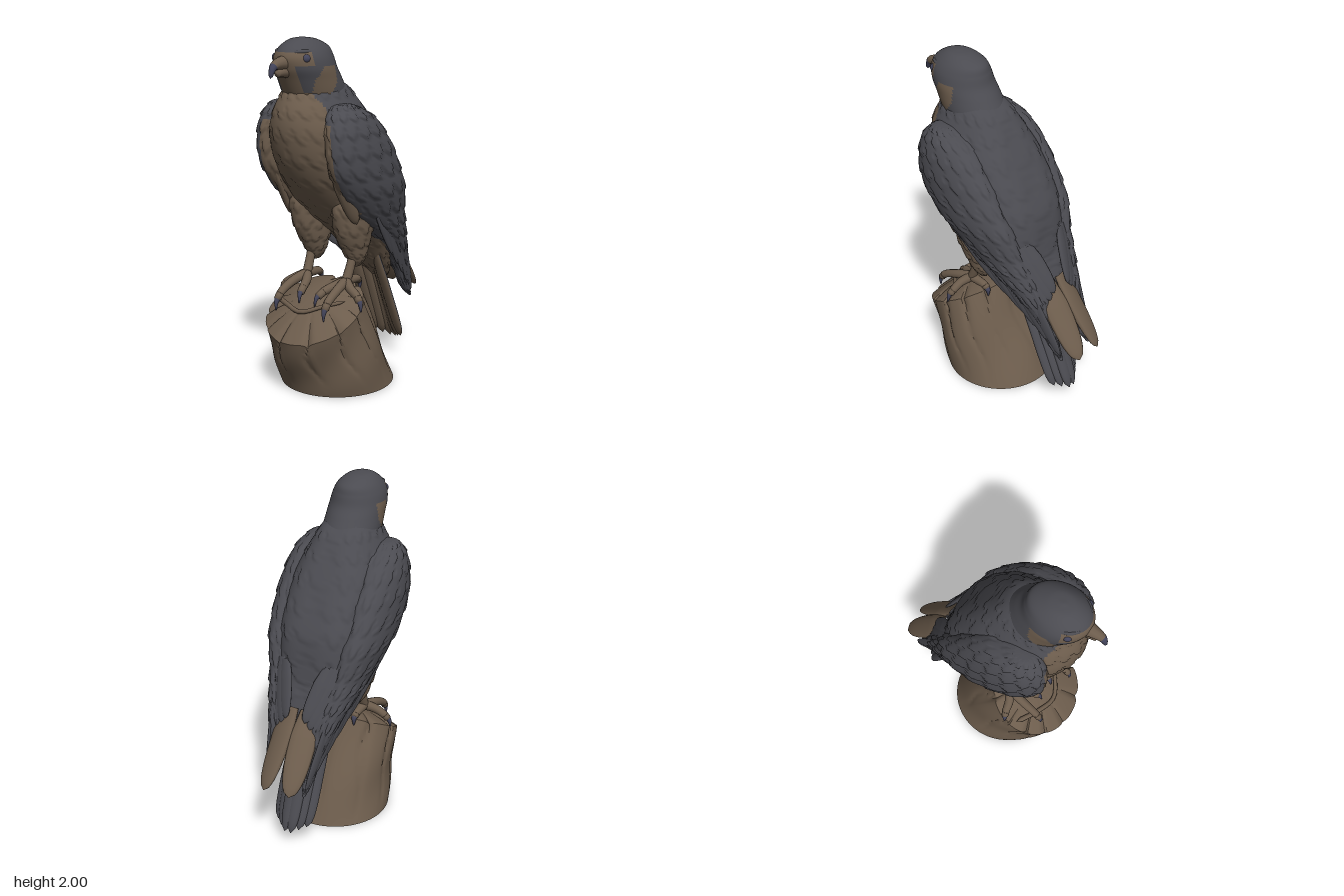
import * as THREE from 'three';
import { toCreasedNormals } from 'three/addons/utils/BufferGeometryUtils.js';

const V = (x, y, z) => new THREE.Vector3(x, y, z);
const mat = (name, color) => Object.assign(new THREE.MeshStandardMaterial({ color }), { name });

export function createModel() {
  const model = new THREE.Group();
  model.name = 'perchedFalcon';
  const materials = [mat('slateFeathers', 0x4b4b51), mat('warmBrown', 0x6c5c4c), mat('darkTalon', 0x43445a)];
  const SLATE = 0, BROWN = 1, TALON = 2;

  // Closed-around surface: fn(t, angle) gives a point, paint(point, t, angle) a material index
  function surface(name, rows, cols, fn, paint, side = 1, crease = 0) {
    const pos = [], faces = [[], [], []];
    const pts = [];
    for (let j = 0; j <= rows; j++) {
      for (let i = 0; i < cols; i++) {
        const p = fn(j / rows, (i / cols) * Math.PI * 2);
        p.x *= side;
        pts.push(p);
        pos.push(p.x, p.y, p.z);
      }
    }
    for (let j = 0; j < rows; j++) {
      for (let i = 0; i < cols; i++) {
        const k = (i + 1) % cols;
        const a = j * cols + i, b = j * cols + k, c = a + cols, d = b + cols;
        const mid = pts[a].clone().add(pts[d]).multiplyScalar(0.5);
        const m = typeof paint === 'function' ? paint(mid, (j + 0.5) / rows, ((i + 0.5) / cols) * Math.PI * 2) : paint;
        faces[m].push(...(side > 0 ? [a, b, c, b, d, c] : [a, c, b, b, c, d]));
      }
    }
    let geo = new THREE.BufferGeometry();
    geo.setAttribute('position', new THREE.Float32BufferAttribute(pos, 3));
    geo.setIndex(faces.flat());
    if (crease) geo = toCreasedNormals(geo, crease);
    else geo.computeVertexNormals();
    let start = 0;
    faces.forEach((f, m) => {
      if (f.length) geo.addGroup(start, f.length, m);
      start += f.length;
    });
    const single = typeof paint !== 'function';
    if (single) geo.clearGroups();
    const mesh = new THREE.Mesh(geo, single ? materials[paint] : materials);
    mesh.name = name;
    model.add(mesh);
  }

  // Overlapping scalloped feathers: height grows toward each rounded edge, then drops
  function plumage(t, a, rows, cols) {
    const v = t * rows, r = Math.floor(v);
    const u = (a / (Math.PI * 2)) * cols + ((r - 1) & 1) * 0.5;
    const c = u - Math.floor(u) - 0.5;
    const local = v - r + 1;
    return (local < 1 + 0.6 * (1 - 4 * c * c) ? local : local - 1) / 1.6 - 0.5;
  }

  // Loft through level sections [y, front z, back z, outer x, inner x], top to bottom;
  // a square value under 1 broadens the back half, and the end rings close to a point
  function loft(name, sections, rows, cols, [amp, fr, fc, square = 1], paint, side = 1) {
    const centre = new THREE.CatmullRomCurve3(
      sections.map(([y, f, b, o, i = -o]) => V((o + i) / 2, y, (f + b) / 2)), false, 'catmullrom');
    const radius = new THREE.CatmullRomCurve3(
      sections.map(([, f, b, o, i = -o]) => V((o - i) / 2, 0, (f - b) / 2)), false, 'catmullrom');
    surface(name, rows, cols, (t, a) => {
      const p = centre.getPoint(t), r = radius.getPoint(t);
      if (t === 0 || t === 1) return p;
      const c = Math.cos(a), s = Math.sin(a);
      const d = amp ? amp * plumage(t, a, fr, fc) * Math.min(1, r.x / 0.08) : 0;
      p.x += (Math.max(r.x, 0.001) + d) * (s < 0 ? Math.sign(c) * Math.abs(c) ** square : c);
      p.z += (Math.max(r.z, 0.001) + d) * s;
      return p;
    }, paint, side);
  }

  // Tapered tube along a smooth path
  function limb(name, points, r0, r1, paint, side = 1) {
    const curve = new THREE.CatmullRomCurve3(points.map((p) => V(...p)));
    const n = 16, fr = curve.computeFrenetFrames(n);
    surface(name, n, 12, (t, a) => {
      const j = Math.round(t * n), r = j % n ? r0 + (r1 - r0) * t : 0;
      return curve.getPointAt(t)
        .addScaledVector(fr.normals[j], r * Math.cos(a))
        .addScaledVector(fr.binormals[j], r * Math.sin(a));
    }, paint, side);
  }

  // Long flat feather with a rounded tip; a higher power makes the tip blunter
  function blade(name, from, to, width, thick, face, paint, side = 1, power = 4) {
    const a0 = V(...from), a1 = V(...to);
    const d = a1.clone().sub(a0).normalize();
    const across = V(...face).cross(d).normalize();
    const up = d.clone().cross(across);
    surface(name, 20, 12, (t, a) => {
      const w = Math.min(1, 0.7 + t) * Math.sqrt(Math.max(0, 1 - t ** power));
      return a0.clone().lerp(a1, t)
        .addScaledVector(across, width * w * Math.cos(a))
        .addScaledVector(up, thick * w * Math.sin(a));
    }, paint, side);
  }

  // Body: brown breast, belly and undertail, broad slate back
  loft('body', [
    [1.78, 0.40, 0.16, 0.12], [1.72, 0.45, 0.06, 0.157], [1.62, 0.505, -0.02, 0.21], [1.5, 0.515, -0.10, 0.26],
    [1.35, 0.475, -0.19, 0.285], [1.2, 0.39, -0.26, 0.285], [1.05, 0.265, -0.29, 0.265], [0.95, 0.16, -0.305, 0.235],
    [0.85, 0.02, -0.34, 0.2], [0.75, -0.09, -0.37, 0.16], [0.65, -0.19, -0.39, 0.12], [0.57, -0.28, -0.40, 0.08],
    [0.51, -0.34, -0.40, 0.04],
  ], 120, 100, [0.012, 13, 18, 0.62], (p, t, a) => {
    if (p.y > 1.58) return p.z > 0.36 + (p.y - 1.58) * 0.45 ? BROWN : SLATE;
    return Math.sin(a) > (p.y < 1 ? -0.3 : 0) ? BROWN : SLATE;
  });

  // Head: slate cap and moustache, brown cheek, throat and eye surround
  loft('head', [
    [2.0, 0.375, 0.36, 0.005], [1.988, 0.44, 0.28, 0.065], [1.95, 0.505, 0.195, 0.113], [1.9, 0.535, 0.17, 0.143],
    [1.84, 0.525, 0.15, 0.157], [1.78, 0.495, 0.11, 0.16], [1.7, 0.455, 0.06, 0.162], [1.64, 0.42, 0.04, 0.15],
  ], 90, 96, [0, 1, 1], (p) => {
    const x = Math.abs(p.x);
    const cheekBack = 0.27 + Math.max(0, 1.76 - p.y) * 0.8, cheekFront = 0.415 - Math.max(0, p.y - 1.78) * 0.6;
    if (p.y < 1.85 && p.z > cheekBack && p.z < cheekFront) return BROWN;
    if (p.y < 1.86 && p.z > 0.4 && x < 0.07) return BROWN;
    if (p.y < 1.71 && p.z > 0.4) return BROWN;
    return p.y > 1.855 && p.y < 1.925 && p.z > 0.43 ? BROWN : SLATE;
  });

  // Short deep hooked beak
  limb('upperBeak', [[0, 1.868, 0.45], [0, 1.87, 0.545], [0, 1.856, 0.598], [0, 1.797, 0.626]], 0.056, 0.008,
    (p, t) => (t > 0.7 ? TALON : BROWN));
  limb('lowerBeak', [[0, 1.83, 0.45], [0, 1.825, 0.53], [0, 1.818, 0.58]], 0.046, 0.018, BROWN);

  // Stump: domed sloping top, grooved bark, flat foot
  const crack = (a, h) => (1 - Math.abs(Math.sin(a * 5.5 + 0.7 * Math.sin(2 * a + 1) + 0.35 * Math.sin(7 * h)))) ** 4;
  surface('stump', 64, 120, (t, a) => {
    const c = Math.cos(a), s = Math.sin(a);
    const top = (r, h) => {
      const k = r * (1 - 0.07 * crack(a, h) * r);
      return V(0.292 * k * c, 0.47 - 0.135 * r * s + 0.075 * (1 - r * r) - 0.025 * crack(a, 1) * r ** 3, 0.275 + 0.255 * k * s);
    };
    if (t <= 0.3125) return top(t / 0.3125, 1);
    if (t >= 0.875) {
      const r = (1 - t) / 0.125;
      return V(0.33 * r * c, 0, 0.06 + 0.33 * r * s);
    }
    const h = 1 - (t - 0.3125) / 0.5625;
    const edge = top(1, h);
    const bulge = 0.012 * Math.sin(h * Math.PI) * Math.sin(3 * a + 4 * h);
    return V(0.33 * c, 0, 0.06 + 0.33 * s).lerp(edge, h).add(V(bulge * c, 0, bulge * s));
  }, BROWN, 1, 0.7);
  limb('topRidge', [[-0.26, 0.5, 0.29], [-0.12, 0.5, 0.37], [0, 0.485, 0.4], [0.12, 0.525, 0.33], [0.2, 0.545, 0.25]],
    0.016, 0.01, BROWN);

  // Arched tail fan: slate above, brown beneath, outer feathers set forward
  for (let i = -2.5; i <= 2.5; i++) {
    const k = Math.abs(i);
    blade('tailFeather', [0.035 * i, 0.78 - 0.01 * k, -0.25 + 0.03 * k], [0.038 * i, 0.08 + 0.016 * k, -0.535 + 0.028 * k],
      0.042, 0.022, [0.12 * i, 0.42, -0.9], (p, t, a) => (Math.sin(a) < 0 ? BROWN : SLATE), 1, 10);
  }

  for (const side of [1, -1]) {
    // Folded wing, brown where its front lip meets the breast, and its flight feathers
    loft('wing', [
      [1.65, 0.32, 0.24, 0.24, 0.19], [1.635, 0.36, 0.19, 0.275, 0.14], [1.57, 0.415, 0.06, 0.325, 0.12],
      [1.45, 0.435, -0.05, 0.355, 0.12], [1.3, 0.41, -0.15, 0.362, 0.12], [1.15, 0.31, -0.235, 0.348, 0.11],
      [1.0, 0.16, -0.285, 0.303, 0.1], [0.88, -0.02, -0.34, 0.263, 0.09], [0.76, -0.2, -0.395, 0.22, 0.08],
      [0.6, -0.345, -0.455, 0.17, 0.08], [0.45, -0.44, -0.51, 0.145, 0.09], [0.37, -0.53, -0.54, 0.125, 0.11],
    ], 110, 84, [0.018, 14, 14], (p, t, a) =>
      (Math.cos(a) < 0.05 && Math.sin(a) > 0.2 && p.y < 1.55 && p.y > 1.05 ? BROWN : SLATE), side);
    for (let i = 0; i < 5; i++) {
      blade('flightFeather', [0.28 - 0.014 * i, 1.02, 0.06 - 0.07 * i],
        [0.2 - 0.018 * i, 0.71 - 0.075 * i, -0.23 - 0.075 * i], 0.04, 0.012, [1, 0.25, -0.1], SLATE, side);
    }
    for (let i = 0; i < 3; i++) {
      blade('innerFlightFeather', [0.2 - 0.03 * i, 1.06, -0.235 - 0.015 * i], [0.12 - 0.03 * i, 0.7 + 0.035 * i, -0.415],
        0.05, 0.016, [0.35, 0.4, -0.85], SLATE, side);
      blade('flankFeather', [0.22 + 0.015 * i, 1.3, 0.36 - 0.03 * i], [0.235 + 0.02 * i, 0.98 + 0.05 * i, 0.19 - 0.02 * i],
        0.045, 0.025, [0.6, 0.2, 0.8], BROWN, side);
    }
    blade('rumpFeather', [0.06, 0.81, -0.345], [0.08, 0.415, -0.635], 0.078, 0.026, [0.35, 0.55, -0.83], BROWN, side);

    // Eye under a heavy brow
    const eye = new THREE.Mesh(new THREE.SphereGeometry(0.025, 20, 14), materials[TALON]);
    eye.name = 'eye';
    eye.position.set(side * 0.1, 1.893, 0.457);
    model.add(eye);
    limb('brow', [[0.05, 1.925, 0.5], [0.092, 1.929, 0.46], [0.112, 1.926, 0.38]], 0.012, 0.01, SLATE, side);

    // Feathered thigh and bare shank
    loft('thigh', [
      [1.16, 0.22, 0.1, 0.2, 0.1], [1.06, 0.262, 0.0, 0.24, 0.06], [0.92, 0.235, -0.03, 0.238, 0.055],
      [0.82, 0.18, -0.01, 0.215, 0.07], [0.75, 0.135, 0.01, 0.195, 0.095], [0.7, 0.10, 0.04, 0.16, 0.13],
    ], 50, 48, [0.016, 6, 9], BROWN, side);
    limb('shank', [[0.15, 0.8, 0.1], [0.145, 0.7, 0.135], [0.14, 0.62, 0.17]], 0.024, 0.028, BROWN, side);

    // Toes: knuckled path, then a hooked talon running on from its end
    const toes = [
      [[0.16, 0.605, 0.28], [0.168, 0.56, 0.37], [0.17, 0.515, 0.405], [0.17, 0.46, 0.41]],
      [[0.2, 0.605, 0.2], [0.25, 0.575, 0.21], [0.28, 0.54, 0.22], [0.29, 0.49, 0.225]],
      [[0.1, 0.61, 0.22], [0.075, 0.59, 0.28], [0.06, 0.56, 0.33], [0.055, 0.51, 0.345]],
      [[0.14, 0.63, 0.1], [0.14, 0.625, 0.06], [0.14, 0.605, 0.035], [0.14, 0.555, 0.03]],
    ];
    for (const [a, b, c, tip] of toes) {
      limb('toe', [[0.14, 0.635, 0.165], a, b, c], 0.03, 0.021, BROWN, side);
      limb('talon', [b, c, tip], 0.025, 0.003, (p, t) => (t > 0.3 ? TALON : BROWN), side);
    }
  }
  return model;
}
